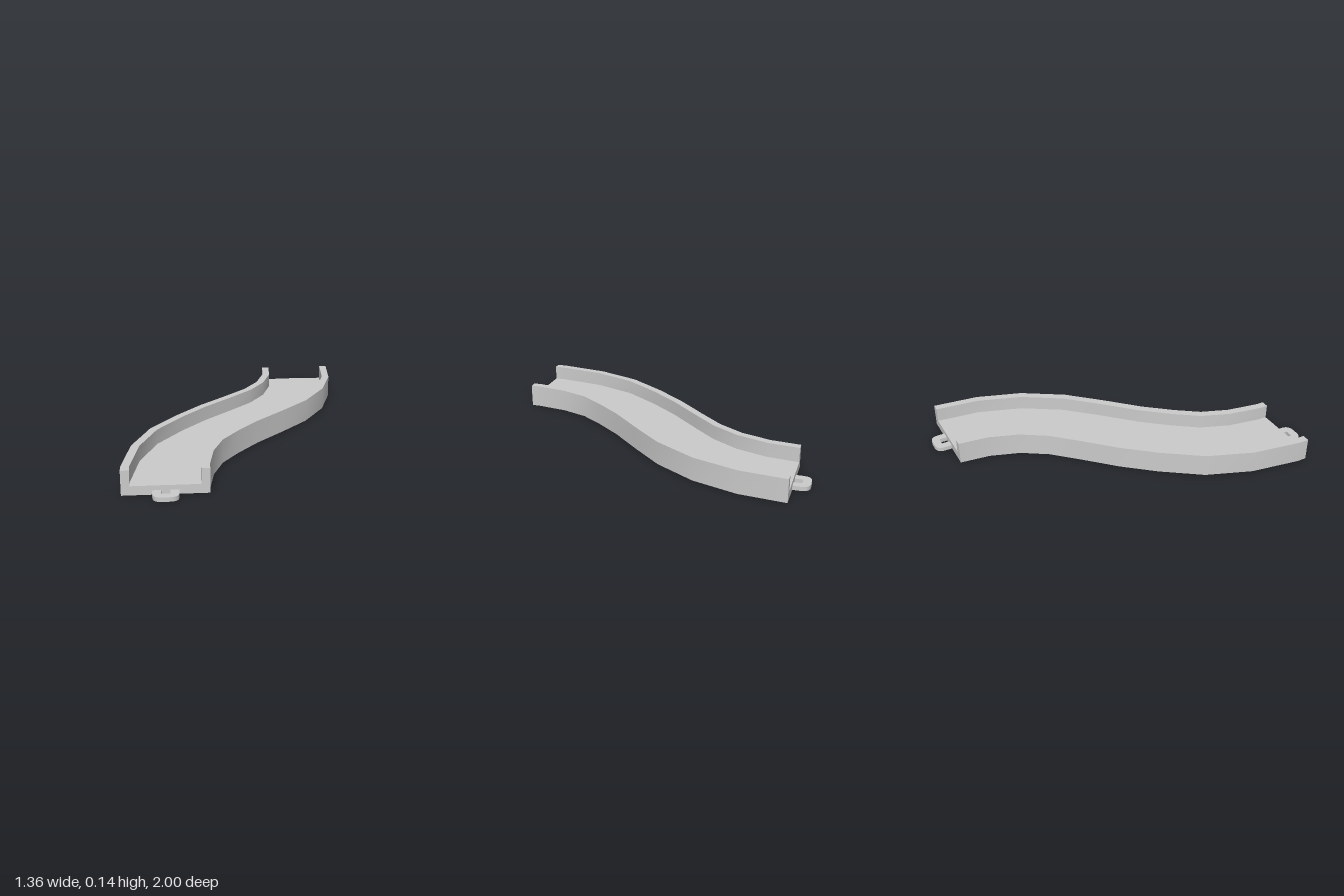
import * as THREE from 'three';
import { toCreasedNormals } from 'three/addons/utils/BufferGeometryUtils.js';

const material = new THREE.MeshStandardMaterial({ color: 0xcccccc });
const END = 0.908; // half length of the channel
const TAB_X = 0.455;

// Centre line stations: x, z, turn in degrees
const stations = [
  [-0.455, END, 0], [-0.455, 0.855, 1], [-0.418, 0.615, 14], [-0.34, 0.405, 28],
  [-0.215, 0.225, 41], [-0.08, 0.06, 45], [0.09, -0.115, 45], [0.24, -0.277, 37],
  [0.36, -0.47, 24], [0.432, -0.688, 12], [0.455, -END, 0],
];

// U-shaped channel section: sideways offset, height
const section = [
  [-0.225, 0], [0.225, 0], [0.225, 0.135], [0.18, 0.135],
  [0.18, 0.05], [-0.18, 0.05], [-0.18, 0.135], [-0.225, 0.135],
].map(([s, y]) => new THREE.Vector2(s, y));

// Sweep the section along the stations and close both ends
function channelGeometry() {
  const positions = [], index = [], n = section.length;
  for (const [x, z, turn] of stations) {
    const a = THREE.MathUtils.degToRad(turn);
    for (const p of section) positions.push(x + p.x * Math.cos(a), p.y, z + p.x * Math.sin(a));
  }
  for (let i = 0; i < stations.length - 1; i++) {
    for (let k = 0; k < n; k++) {
      const a = i * n + k, b = i * n + (k + 1) % n;
      index.push(a, b + n, b, a, a + n, b + n);
    }
  }
  const last = (stations.length - 1) * n;
  for (const [a, b, c] of THREE.ShapeUtils.triangulateShape(section, [])) {
    index.push(a, b, c, last + a, last + c, last + b);
  }
  const geometry = new THREE.BufferGeometry();
  geometry.setAttribute('position', new THREE.Float32BufferAttribute(positions, 3));
  geometry.setIndex(index);
  return toCreasedNormals(geometry, Math.PI / 5);
}

// Flat connecting loop with rounded outer corners and a square hole
function loopGeometry() {
  const w = 0.068, d = 1 - END, r = 0.05, h = 0.023;
  const shape = new THREE.Shape();
  shape.moveTo(-w, 0);
  shape.lineTo(-h, 0);
  shape.lineTo(-h, 0.046);
  shape.lineTo(h, 0.046);
  shape.lineTo(h, 0);
  shape.lineTo(w, 0);
  shape.lineTo(w, d - r);
  shape.quadraticCurveTo(w, d, w - r, d);
  shape.lineTo(-w + r, d);
  shape.quadraticCurveTo(-w, d, -w, d - r);
  const geometry = new THREE.ExtrudeGeometry(shape, { depth: 0.024, bevelEnabled: false, curveSegments: 6 });
  geometry.rotateX(Math.PI / 2).translate(0, 0.024, 0);
  return toCreasedNormals(geometry, Math.PI / 5);
}

export function createModel() {
  const model = new THREE.Group();
  model.name = 'curvedTrack';

  const channel = new THREE.Mesh(channelGeometry(), material);
  channel.name = 'channel';
  model.add(channel);

  // One loop at each end, turned half round
  const loop = loopGeometry();
  for (const [name, side] of [['frontLoop', 1], ['backLoop', -1]]) {
    const mesh = new THREE.Mesh(loop, material);
    mesh.name = name;
    mesh.position.set(-TAB_X * side, 0, END * side);
    mesh.rotation.y = side > 0 ? 0 : Math.PI;
    model.add(mesh);
  }
  return model;
}
